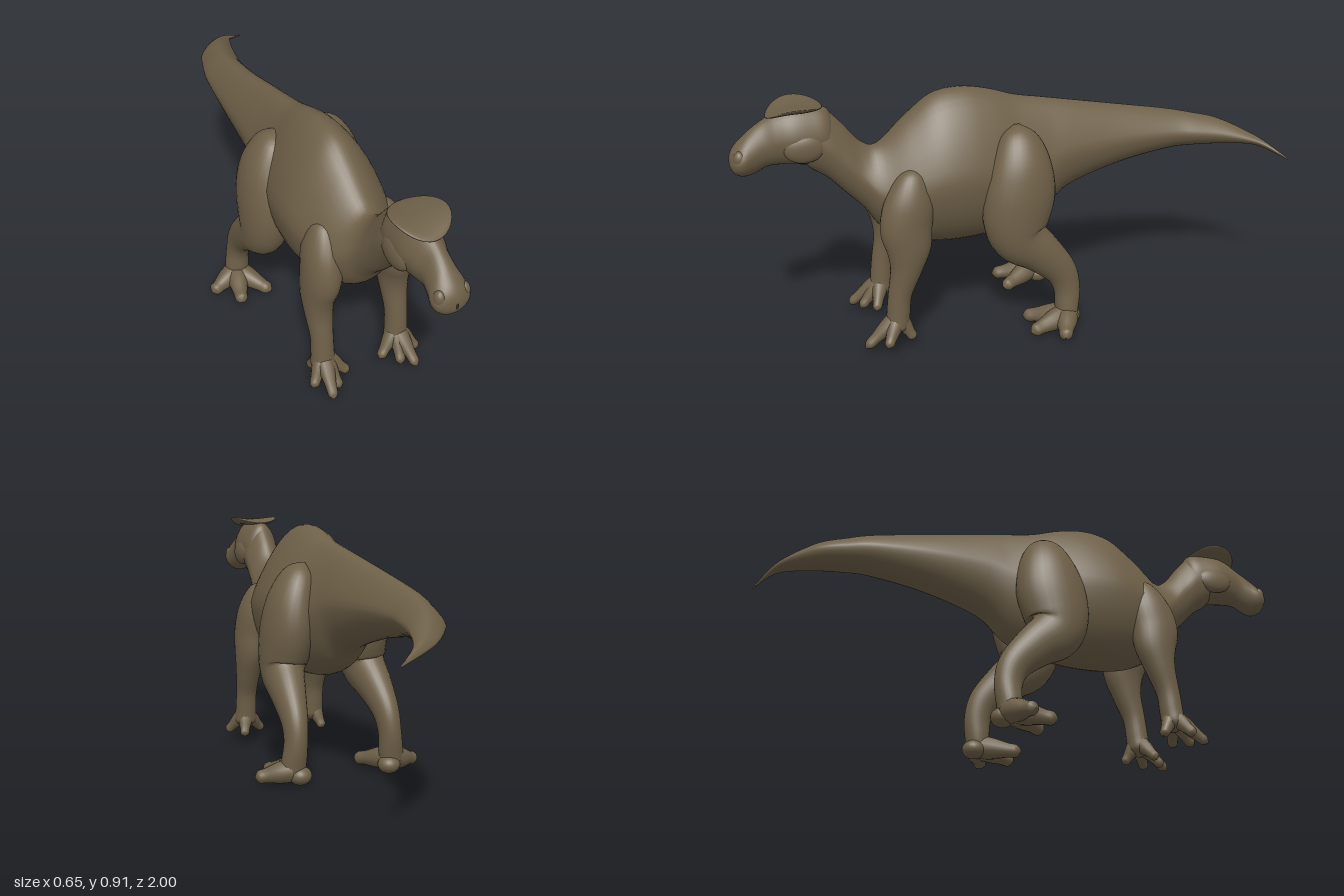
import * as THREE from 'three';

const X = new THREE.Vector3(1, 0, 0);

// Catmull-Rom blend of whole rows
function sampleRows(rows, t) {
  const last = rows.length - 1;
  const i = Math.min(Math.floor(t * last), last - 1);
  const f = t * last - i;
  const at = (k) => rows[Math.max(0, Math.min(last, k))];
  const [a, b, c, d] = [at(i - 1), at(i), at(i + 1), at(i + 2)];
  return b.map((v, k) => 0.5 * (2 * v + (c[k] - a[k]) * f
    + (2 * a[k] - 5 * v + 4 * c[k] - d[k]) * f * f
    + (3 * v - a[k] - 3 * c[k] + d[k]) * f * f * f));
}

// Smooth skin over rows [x, y, z, halfWidth, halfDepth].
// upright keeps the sections facing z; pinch narrows their upper half.
function loft(rows, { sides = 24, steps = 5, upright = false, pinch = 0 } = {}) {
  const n = (rows.length - 1) * steps;
  const rings = [];
  for (let i = 0; i <= n; i++) rings.push(sampleRows(rows, i / n));
  const centre = (i) => new THREE.Vector3().fromArray(rings[Math.max(0, Math.min(n, i))]);
  const pos = [], index = [];
  for (let i = 0; i <= n; i++) {
    const c = centre(i);
    const dir = upright ? new THREE.Vector3(0, 0, 1) : centre(i + 1).sub(centre(i - 1)).normalize();
    const up = dir.clone().cross(X).normalize();
    const side = up.clone().cross(dir);
    const w = Math.max(0.001, rings[i][3]), h = Math.max(0.001, rings[i][4]);
    for (let j = 0; j < sides; j++) {
      const a = (j / sides) * Math.PI * 2;
      const s = Math.sin(a);
      const p = c.clone()
        .addScaledVector(side, w * Math.cos(a) * (1 - pinch * Math.max(0, s)))
        .addScaledVector(up, h * s);
      pos.push(p.x, p.y, p.z);
      if (i < n) {
        const k = i * sides + j, l = i * sides + ((j + 1) % sides);
        index.push(k, l, l + sides, k, l + sides, k + sides);
      }
    }
  }
  const g = new THREE.BufferGeometry();
  g.setAttribute('position', new THREE.Float32BufferAttribute(pos, 3));
  g.setIndex(index);
  g.computeVertexNormals();
  return g;
}

// Rows [z, x, top, bottom, halfWidth] to loft rows
const profile = (rows) => rows.map(([z, x, t, b, w]) => [x, (t + b) / 2, z, w, (t - b) / 2]);

// Tapered, round-ended digit
function digit(from, to, r0, r1) {
  const mix = (t) => from.map((v, k) => v + (to[k] - v) * t);
  return loft([[0, r0], [0.35, r0 * 0.9], [0.7, r1], [0.9, r1 * 0.85], [1, 0.002]]
    .map(([t, r]) => [...mix(t), r, r]), { sides: 12, steps: 4 });
}

export function createModel() {
  const model = new THREE.Group();
  const hide = new THREE.MeshStandardMaterial({ color: 0x6e6048 });
  hide.name = 'brown hide';
  const add = (parent, name, geometry) => {
    const m = new THREE.Mesh(geometry, hide);
    m.name = name;
    parent.add(m);
    return m;
  };
  const blob = (parent, name, p, s) => {
    const m = add(parent, name, new THREE.SphereGeometry(1, 24, 16));
    m.position.set(...p);
    m.scale.set(...s);
    return m;
  };

  // Tail, trunk and neck in one skin
  add(model, 'body', loft(profile([
    [-1.0, 0.235, 0.582, 0.576, 0.002],
    [-0.95, 0.148, 0.625, 0.598, 0.026],
    [-0.9, 0.097, 0.655, 0.607, 0.045],
    [-0.8, 0.04, 0.7, 0.602, 0.068],
    [-0.7, 0.01, 0.723, 0.598, 0.077],
    [-0.6, -0.01, 0.743, 0.588, 0.083],
    [-0.4, -0.018, 0.78, 0.55, 0.095],
    [-0.2, -0.014, 0.82, 0.485, 0.11],
    [-0.1, -0.012, 0.84, 0.4, 0.125],
    [0.0, -0.01, 0.86, 0.36, 0.145],
    [0.1, -0.01, 0.892, 0.343, 0.17],
    [0.2, -0.01, 0.908, 0.336, 0.185],
    [0.3, -0.01, 0.892, 0.34, 0.185],
    [0.4, -0.008, 0.82, 0.362, 0.165],
    [0.5, -0.004, 0.735, 0.42, 0.125],
    [0.56, -0.002, 0.752, 0.505, 0.088],
    [0.62, 0, 0.825, 0.57, 0.076],
    [0.68, 0, 0.885, 0.635, 0.074],
    [0.74, 0, 0.89, 0.68, 0.065],
    [0.78, 0, 0.82, 0.74, 0.002],
  ]), { sides: 40, upright: true, pinch: 0.35 }));

  // Skull narrowing to a waist, then the broad beak
  const head = new THREE.Group();
  head.name = 'head';
  model.add(head);
  add(head, 'skull', loft(profile([
    [0.64, 0, 0.83, 0.74, 0.02],
    [0.67, 0, 0.885, 0.7, 0.062],
    [0.73, 0, 0.9, 0.69, 0.074],
    [0.79, 0, 0.9, 0.697, 0.076],
    [0.84, 0, 0.885, 0.702, 0.064],
    [0.88, 0, 0.862, 0.698, 0.052],
    [0.92, 0, 0.835, 0.68, 0.056],
    [0.955, 0, 0.805, 0.674, 0.065],
    [0.98, 0, 0.78, 0.682, 0.058],
    [0.994, 0, 0.758, 0.697, 0.036],
    [1.0, 0, 0.735, 0.715, 0.004],
  ]), { sides: 32, upright: true, pinch: 0.2 }));

  // Flat crest with upturned rims
  const crest = new THREE.SphereGeometry(1, 32, 16);
  crest.scale(0.096, 0.014, 0.095);
  const cp = crest.attributes.position;
  for (let i = 0; i < cp.count; i++) {
    const x = cp.getX(i), z = cp.getZ(i);
    cp.setY(i, cp.getY(i) + 2.0 * x * x - 2.2 * Math.max(0, z) ** 2);
  }
  crest.computeVertexNormals();
  crest.translate(0, 0.892, 0.775);
  add(head, 'crest', crest);

  for (const s of [1, -1]) {
    const side = s > 0 ? 'left' : 'right';
    const at = ([x, ...rest]) => [s * x, ...rest];

    // Cheek and nostril swellings
    blob(head, side + 'Cheek', [s * 0.06, 0.765, 0.755], [0.025, 0.05, 0.07]);
    blob(head, side + 'Nostril', [s * 0.042, 0.745, 0.965], [0.02, 0.03, 0.022]);

    // Hind leg: thigh, knee, shank and ankle
    const hind = new THREE.Group();
    hind.name = side + 'HindLeg';
    model.add(hind);
    add(hind, 'hindLimb', loft([
      [0.085, 0.78, 0.02, 0.004, 0.01],
      [0.105, 0.74, 0.02, 0.055, 0.07],
      [0.135, 0.65, 0.02, 0.083, 0.11],
      [0.15, 0.55, 0.028, 0.092, 0.13],
      [0.157, 0.45, 0.045, 0.09, 0.122],
      [0.165, 0.38, 0.035, 0.08, 0.1],
      [0.175, 0.315, -0.04, 0.064, 0.078],
      [0.183, 0.235, -0.115, 0.048, 0.06],
      [0.188, 0.16, -0.142, 0.042, 0.05],
      [0.195, 0.08, -0.14, 0.046, 0.044],
      [0.2, 0.03, -0.135, 0.04, 0.036],
      [0.2, 0.008, -0.135, 0.003, 0.003],
    ].map(at), { sides: 28 }));
    blob(hind, 'heel', [s * 0.178, 0.036, -0.158], [0.042, 0.034, 0.042]);
    for (const tip of [[0.325, 0.027, -0.09], [0.245, 0.026, 0.015], [0.115, 0.026, 0.005]]) {
      add(hind, 'hindToe', digit(at([0.2, 0.055, -0.14]), at(tip), 0.044, 0.027));
    }

    // Foreleg: shoulder, elbow and wrist
    const fore = new THREE.Group();
    fore.name = side + 'Foreleg';
    model.add(fore);
    add(fore, 'foreLimb', loft([
      [0.1, 0.67, 0.4, 0.004, 0.006],
      [0.11, 0.64, 0.405, 0.045, 0.05],
      [0.125, 0.56, 0.42, 0.066, 0.085],
      [0.137, 0.47, 0.44, 0.066, 0.092],
      [0.147, 0.39, 0.437, 0.058, 0.08],
      [0.15, 0.31, 0.45, 0.049, 0.057],
      [0.15, 0.22, 0.475, 0.041, 0.043],
      [0.15, 0.14, 0.485, 0.042, 0.042],
      [0.15, 0.09, 0.49, 0.042, 0.038],
      [0.15, 0.065, 0.49, 0.003, 0.003],
    ].map(at), { sides: 24 }));
    for (const tip of [[0.065, 0.04, 0.525], [0.125, 0.03, 0.575], [0.17, 0.032, 0.612],
      [0.215, 0.042, 0.54], [0.175, 0.04, 0.435]]) {
      add(fore, 'foreToe', digit(at([0.15, 0.13, 0.487]), at(tip), 0.032, 0.02));
    }
  }
  return model;
}
